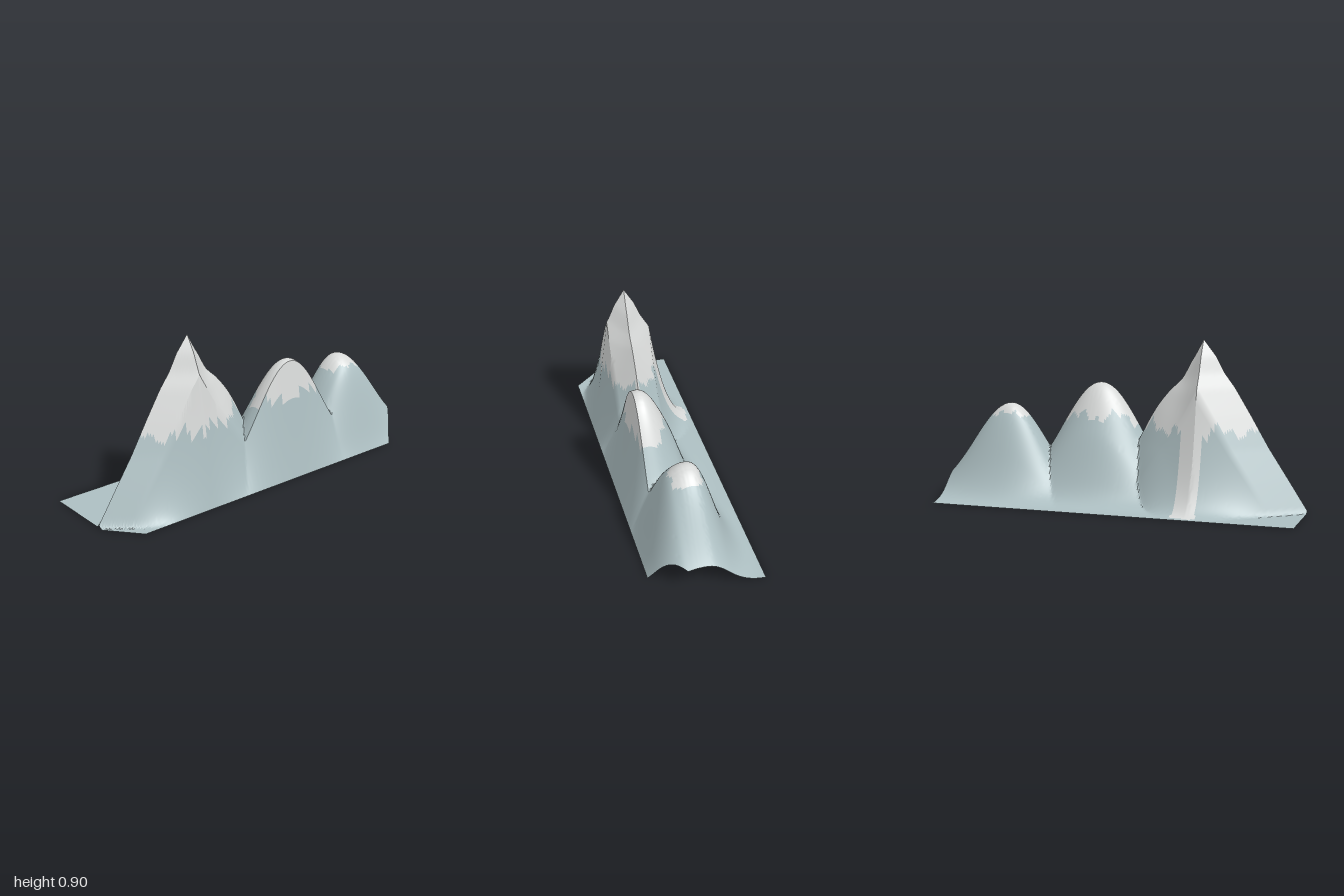
import * as THREE from 'three';
import { toCreasedNormals } from 'three/addons/utils/BufferGeometryUtils.js';

// Flank of the tall sharp peak: [distance along the ridge, height]
const FLANK = [[0, 0.905], [0.07, 0.815], [0.115, 0.73], [0.175, 0.65], [0.26, 0.51], [0.36, 0.338], [0.47, 0.17], [0.57, 0.015], [0.59, 0]];

function flankHeight(d) {
  for (let i = 1; i < FLANK.length; i++) {
    const [d0, h0] = FLANK[i - 1], [d1, h1] = FLANK[i];
    if (d <= d1) return h0 + (h1 - h0) * (d - d0) / (d1 - d0);
  }
  return 0;
}

// Four-ridged pyramid, slightly hollow then bulging on its right-hand flank
function sharpPeak(x, z) {
  const dx = x + 0.43;
  const h = flankHeight(Math.abs(dx) + Math.abs(z - 0.09) * 1.27);
  const ripple = dx > 0 && dx < 0.4 ? -0.05 * Math.sin(dx * Math.PI * 5) : 0;
  return h * (1 + ripple);
}

// Round peak with its own width on each side
const dome = (dx, dz, height, wx, wz) => height * Math.exp(-dx * dx / wx - dz * dz / wz);

// Minimum of s and 1, with the corner rounded over the range k
function softLimit(s, k) {
  const t = k > 0 ? Math.max(k - Math.abs(1 - s), 0) / k : 0;
  return Math.max(0, Math.min(s, 1) - t * t * k / 4);
}

// Steep drop at the front edge, long concave slope at the back edge
const edgeFade = (z, kFront, kBack) =>
  softLimit((0.29 - z) / 0.1, kFront) * Math.pow(softLimit((z + 0.29) / 0.24, kBack), 1.65);

const peaks = [
  { snowLine: 0.43, kFront: 0, kBack: 0, height: sharpPeak },
  { snowLine: 0.45, kFront: 0, kBack: 0.2, height: (x, z) => dome(x - 0.172, z - 0.16, 0.65, 0.104, z < 0.16 ? 0.055 : 0.104) },
  { snowLine: 0.475, kFront: 0.6, kBack: 0.25, height: (x, z) => dome(x - 0.66, z - 0.04, 0.53, x < 0.66 ? 0.07 : 0.092, 0.088) },
];

function terrain(x, z) {
  let owner = 0, y = -1;
  peaks.forEach((p, i) => {
    const h = p.height(x, z) * edgeFade(z, p.kFront, p.kBack);
    if (h > y) { y = h; owner = i; }
  });
  return { y, owner };
}

// Jagged snow caps, plus a snow gully down the back of the tall peak
function isSnow(x, y, z) {
  const { owner } = terrain(x, z);
  if (owner === 0 && z < -0.03 && y > 0.004 && Math.abs(x + 0.41) < 0.055 + Math.max(0, -0.2 - z) * 0.3) return true;
  const zigzag = Math.abs(((x * 13 + 20) % 1) - 0.5) * 0.1 - 0.025 + 0.02 * Math.sin(x * 31);
  const back = z < 0.1 && owner === 1 ? 0.02 : 0;
  return y > peaks[owner].snowLine + back + zigzag * (owner === 2 ? 0.5 : 1);
}

export function createModel() {
  const rock = new THREE.MeshStandardMaterial({ color: 0xadbfc2, side: THREE.DoubleSide });
  rock.name = 'rock';
  const snow = new THREE.MeshStandardMaterial({ color: 0xd8dad9, side: THREE.DoubleSide });
  snow.name = 'snow';

  // Grid vertex; the two front corners are cut off diagonally
  const columns = 200, rows = 58;
  const point = (i, j) => {
    const z = -0.29 + j * 0.01;
    const limit = 1 - Math.max(0, (z - 0.12) / 0.17) * 0.145;
    const x = THREE.MathUtils.clamp(-1 + i * 0.01, -limit, limit);
    return new THREE.Vector3(x, terrain(x, z).y, z);
  };

  const rockPoints = [], snowPoints = [];
  const addTriangle = (list, a, b, c) => {
    if (new THREE.Triangle(a, b, c).getArea() > 1e-8) list.push(a, b, c);
  };
  for (let j = 0; j < rows; j++) {
    for (let i = 0; i < columns; i++) {
      const a = point(i, j), b = point(i + 1, j), c = point(i, j + 1), d = point(i + 1, j + 1);
      const mid = a.clone().add(b).add(c).add(d).multiplyScalar(0.25);
      const list = isSnow(mid.x, mid.y, mid.z) ? snowPoints : rockPoints;
      addTriangle(list, a, c, b);
      addTriangle(list, b, c, d);
    }
  }

  // One surface with smooth slopes and sharp ridges, split into rock and snow
  const raw = new THREE.BufferGeometry().setFromPoints([...rockPoints, ...snowPoints]);
  const geometry = toCreasedNormals(raw, 0.5);
  geometry.clearGroups();
  geometry.addGroup(0, rockPoints.length, 0);
  geometry.addGroup(rockPoints.length, snowPoints.length, 1);

  const mountains = new THREE.Mesh(geometry, [rock, snow]);
  mountains.name = 'mountainSurface';
  const group = new THREE.Group();
  group.name = 'mountainRange';
  group.add(mountains);
  return group;
}
